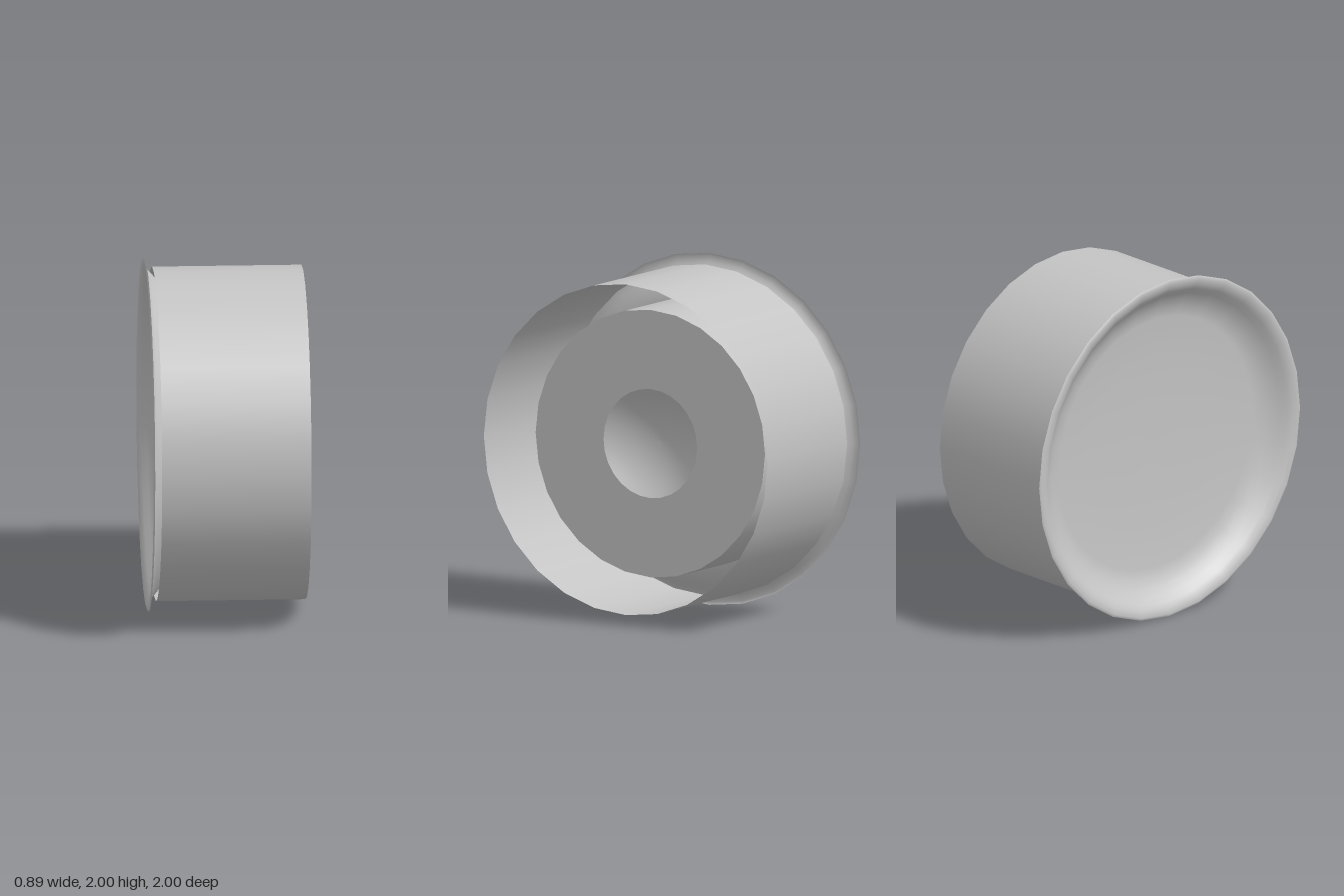
import * as THREE from 'three';

const SEGMENTS = 28;

export function createModel() {
  const model = new THREE.Group();
  model.name = 'openDrum';

  const grey = new THREE.MeshStandardMaterial({ color: 0xc4c4c4, side: THREE.DoubleSide });
  grey.name = 'plain grey';

  // Revolve a list of [radius, x] points around the sideways axis
  function revolve(name, profile) {
    const points = profile.map(([r, x]) => new THREE.Vector2(r, x));
    const geometry = new THREE.LatheGeometry(points, SEGMENTS);
    geometry.rotateZ(-Math.PI / 2);
    const mesh = new THREE.Mesh(geometry, grey);
    mesh.name = name;
    mesh.position.y = 1;
    model.add(mesh);
  }

  // Thin outer wall, open at both ends
  revolve('drumWall', [[0.94, -0.395], [0.94, 0.445]]);

  // Shallow dish with a flared lip closing the left-hand end
  revolve('flaredDish', [
    [1, -0.437], [0.985, -0.445], [0.95, -0.437], [0.92, -0.417], [0.89, -0.39],
    [0.85, -0.36], [0.8, -0.335], [0.74, -0.32], [0.5, -0.305], [0.25, -0.298], [0, -0.296],
  ]);

  // Core standing on the dish, behind the inner face
  revolve('coreWall', [[0.76, -0.32], [0.76, 0.185]]);

  // Flat inner face around the dimple
  revolve('innerFace', [[0.76, 0.185], [0.31, 0.185]]);

  // Round hollow in the middle of the inner face, a spherical cap
  const rim = 0.31, depth = 0.11;
  const radius = (rim * rim + depth * depth) / (2 * depth);
  const sweep = Math.asin(rim / radius);
  const dimple = [];
  for (let i = 0; i <= 8; i++) {
    const a = sweep * (1 - i / 8);
    dimple.push([radius * Math.sin(a), 0.185 - depth + radius * (1 - Math.cos(a))]);
  }
  revolve('dimple', dimple);

  return model;
}
